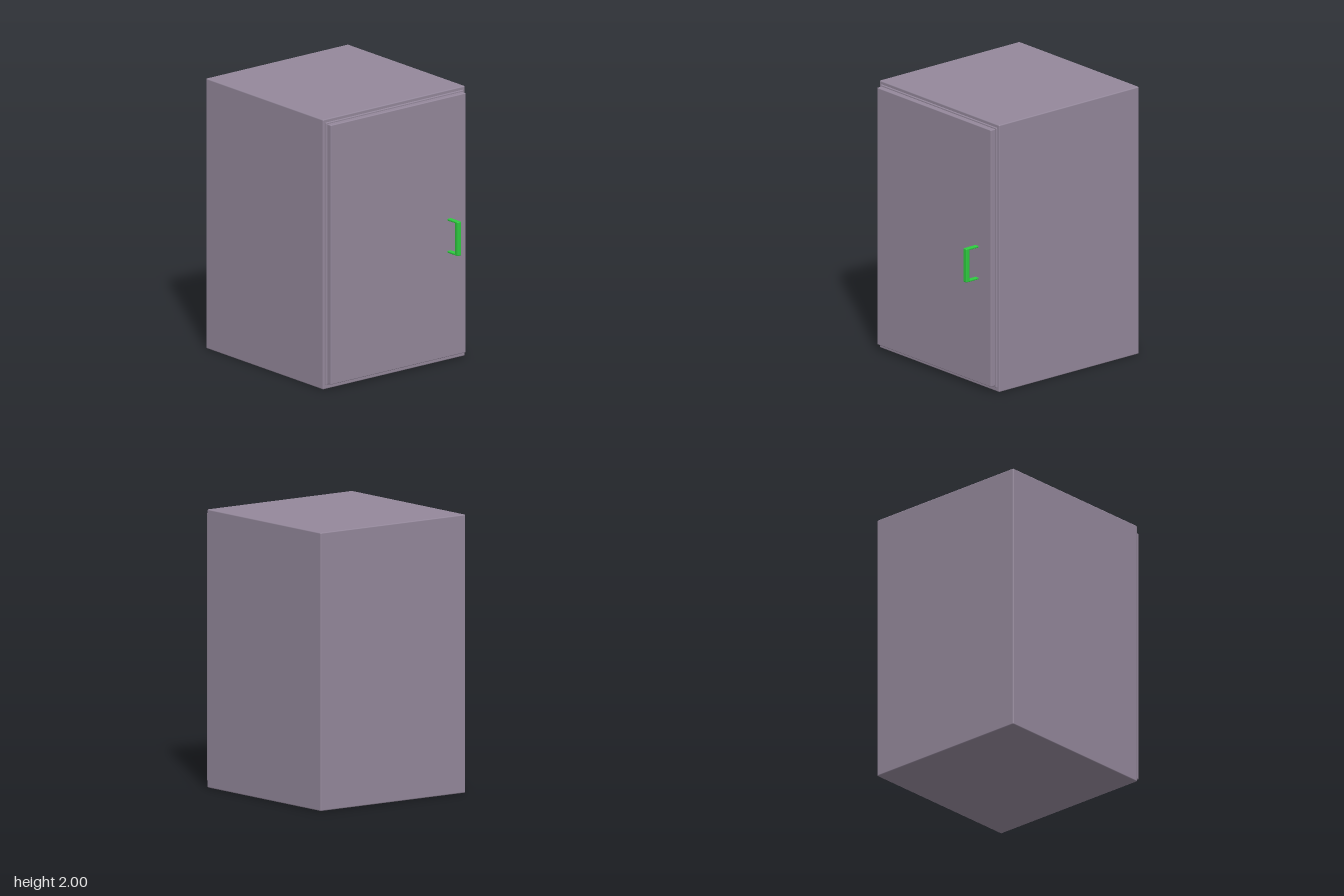
import * as THREE from 'three';
import { RoundedBoxGeometry } from 'three/addons/geometries/RoundedBoxGeometry.js';

const shell = new THREE.MeshStandardMaterial({ color: 0x94889b });
const green = new THREE.MeshStandardMaterial({ color: 0x2ecc40 });

// Softly edged box given by its minimum and maximum corners
function block(name, min, max, radius, material) {
  const size = max.map((v, i) => v - min[i]);
  const mesh = new THREE.Mesh(new RoundedBoxGeometry(...size, 2, radius), material);
  mesh.position.set(...max.map((v, i) => (v + min[i]) / 2));
  mesh.name = name;
  return mesh;
}

export function createModel() {
  const model = new THREE.Group();
  model.name = 'cabinet';

  // Cabinet body, with the door and its seal on the +x side
  model.add(
    block('body', [-0.735, 0, -0.653], [0.572, 2, 0.651], 0.008, shell),
    block('doorSeal', [0.55, 0.03, -0.632], [0.582, 1.976, 0.63], 0.006, shell),
    block('door', [0.56, 0.042, -0.62], [0.622, 1.965, 0.62], 0.006, shell)
  );

  // Pull handle: upright grip on two thin arms
  const handle = new THREE.Group();
  handle.name = 'handle';
  handle.add(block('grip', [0.703, 0.813, -0.485], [0.735, 1.065, -0.451], 0.006, green));
  for (const [name, y] of [['lowerArm', 0.813], ['upperArm', 1.051]]) {
    handle.add(block(name, [0.615, y, -0.485], [0.715, y + 0.014, -0.451], 0.004, green));
  }
  model.add(handle);
  return model;
}
